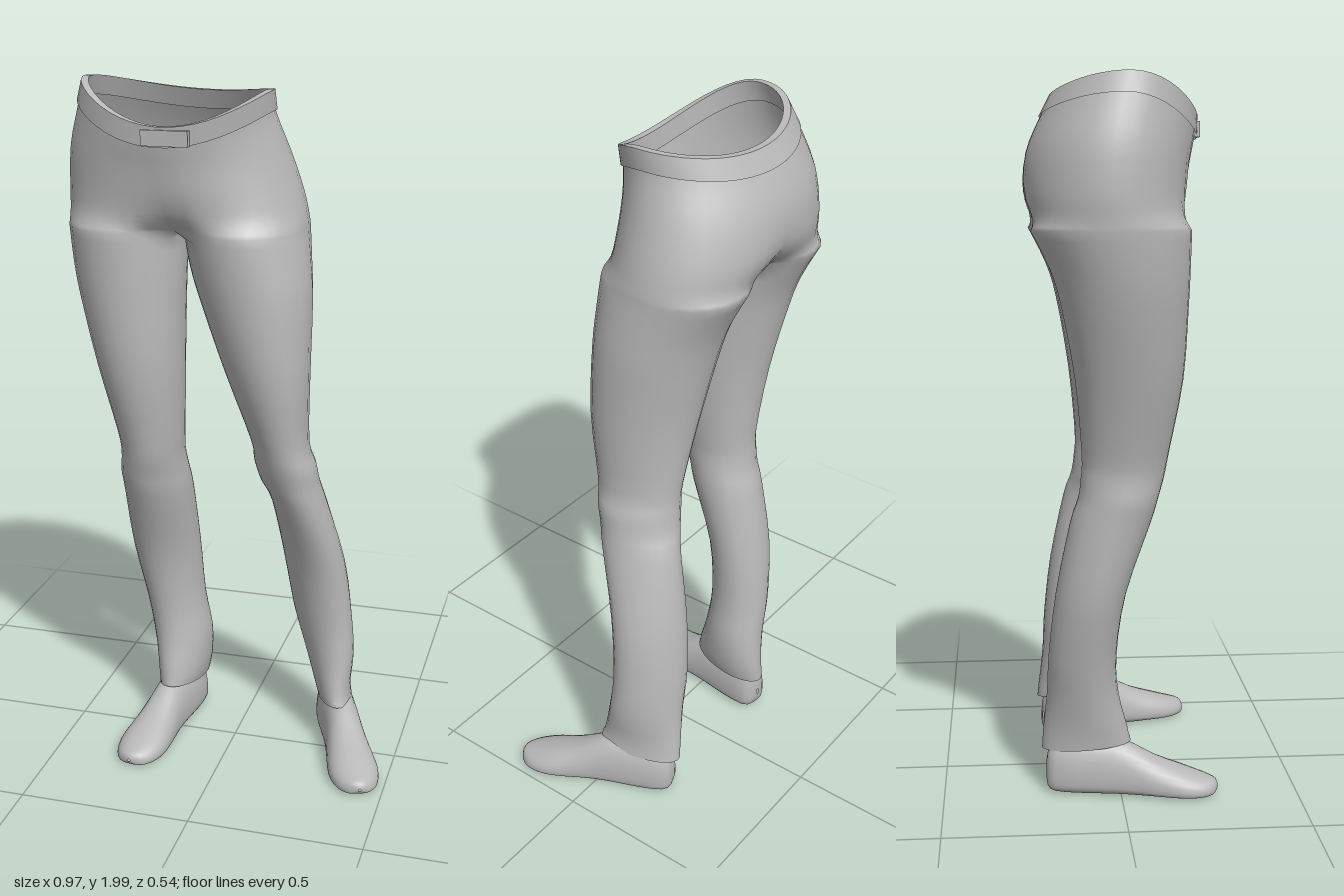
import * as THREE from 'three';
import { toCreasedNormals } from 'three/addons/utils/BufferGeometryUtils.js';

const H = 20;            // segments over the outer half of each leg
const B = 8;             // segments across the crotch bridge
const SPREAD = 2.53;     // half angle of a leg section that continues the hips
const CX = -0.15;        // x of the crotch
const lerp = THREE.MathUtils.lerp;

// rows: y, xMin, xMax, zMin, zMax, blend towards two legs, waist tilt
const HIPS = [
  [1.945, -0.425, 0.105, -0.185, 0.205, 0, 1],
  [1.89, -0.445, 0.107, -0.215, 0.2, 0, 0.9],
  [1.8, -0.48, 0.14, -0.257, 0.19, 0.04, 0.4],
  [1.7, -0.49, 0.175, -0.275, 0.185, 0.17, 0],
  [1.64, -0.488, 0.19, -0.265, 0.18, 0.45, 0],
  [1.6, -0.485, 0.2, -0.245, 0.18, 1, 0],
];
// rows: y, xMin, xMax, zMin, zMax, skew (turns the section outward)
const LEFT_LEG = [
  [1.6, -0.15, 0.2, -0.245, 0.18, 0],
  [1.5, -0.13, 0.215, -0.195, 0.178, 0.05],
  [1.4, -0.1, 0.225, -0.165, 0.175, 0.1],
  [1.2, -0.03, 0.226, -0.13, 0.165, 0.2],
  [1.0, 0.045, 0.225, -0.11, 0.13, 0.25],
  [0.93, 0.055, 0.245, -0.112, 0.117, 0.25],
  [0.87, 0.07, 0.255, -0.12, 0.1, 0.25],
  [0.8, 0.1, 0.272, -0.142, 0.08, 0.25],
  [0.6, 0.125, 0.32, -0.182, 0.012, 0.3],
  [0.42, 0.152, 0.342, -0.202, -0.012, 0.35],
  [0.3, 0.185, 0.352, -0.207, -0.008, 0.4],
  [0.2, 0.215, 0.346, -0.217, 0.01, 0.45],
  [0.145, 0.232, 0.352, -0.224, 0.022, 0.45],
];
const RIGHT_LEG = [
  [1.6, -0.485, -0.15, -0.245, 0.18, 0],
  [1.5, -0.47, -0.15, -0.195, 0.178, 0],
  [1.4, -0.45, -0.15, -0.165, 0.175, 0],
  [1.2, -0.4, -0.15, -0.128, 0.165, 0],
  [1.0, -0.35, -0.155, -0.11, 0.13, 0],
  [0.93, -0.342, -0.158, -0.112, 0.117, 0],
  [0.87, -0.348, -0.152, -0.12, 0.1, -0.05],
  [0.8, -0.346, -0.145, -0.142, 0.08, -0.05],
  [0.6, -0.34, -0.14, -0.182, 0.012, -0.1],
  [0.42, -0.305, -0.132, -0.202, -0.012, -0.1],
  [0.3, -0.28, -0.112, -0.207, -0.005, -0.15],
  [0.2, -0.262, -0.115, -0.217, 0.02, -0.2],
  [0.145, -0.255, -0.128, -0.222, 0.03, -0.2],
];
// rows: distance from heel, half width, bottom, top
const SHOE = [
  [0, 0.004, 0.06, 0.08],
  [0.006, 0.03, 0.025, 0.13],
  [0.03, 0.05, 0.012, 0.165],
  [0.1, 0.058, 0.01, 0.175],
  [0.19, 0.058, 0.01, 0.17],
  [0.25, 0.06, 0.01, 0.147],
  [0.31, 0.067, 0.01, 0.115],
  [0.38, 0.074, 0.01, 0.088],
  [0.43, 0.067, 0.01, 0.07],
  [0.465, 0.05, 0.012, 0.058],
  [0.483, 0.028, 0.017, 0.05],
  [0.49, 0.004, 0.03, 0.036],
];

// Smoothly interpolates rows of numbers
function refine(rows, n) {
  const out = [];
  for (let k = 0; k < rows.length - 1; k++) {
    const [p, q, r, s] = [-1, 0, 1, 2].map(
      (d) => rows[THREE.MathUtils.clamp(k + d, 0, rows.length - 1)]);
    for (let m = 0; m < n; m++) {
      const t = m / n;
      out.push(q.map((v, i) => v + 0.5 * t * (r[i] - p[i]
        + t * (2 * p[i] - 5 * v + 4 * r[i] - s[i] + t * (3 * (v - r[i]) + s[i] - p[i])))));
    }
  }
  out.push(rows[rows.length - 1]);
  return out;
}

// Point on the ellipse filling a row's bounds
function section([y, x0, x1, z0, z1], angle, skew = 0) {
  const c = Math.cos(angle), s = Math.sin(angle);
  return [(x0 + x1) / 2 + (x1 - x0) / 2 * (c * Math.sqrt(1 - skew * skew) + s * skew),
    y, (z0 + z1) / 2 + (z1 - z0) / 2 * s];
}

// Waistline: high at the sides, low at the front
function tilt(angle) {
  const c = Math.cos(angle), s = Math.sin(angle);
  return c * c * 0.04 + s * s * (s > 0 ? -0.055 : 0.005) - c * 0.0125;
}

// Collects vertices and joins equal-length closed rings of indices
class Skin {
  positions = [];
  index = [];
  add(p) {
    this.positions.push(...p);
    return this.positions.length / 3 - 1;
  }
  join(upper, lower) {
    upper.forEach((a, i) => {
      const j = (i + 1) % upper.length;
      this.index.push(a, upper[j], lower[i], upper[j], lower[j], lower[i]);
    });
  }
  loft(rings) {
    const ids = rings.map((ring) => ring.map((p) => this.add(p)));
    for (let k = 1; k < ids.length; k++) this.join(ids[k - 1], ids[k]);
    return ids;
  }
  geometry() {
    const g = new THREE.BufferGeometry();
    g.setAttribute('position', new THREE.Float32BufferAttribute(this.positions, 3));
    g.setIndex(this.index);
    g.computeVertexNormals();
    return g;
  }
}

function hipRing(row) {
  const ring = [];
  for (let j = 0; j < 2 * H; j++) {
    const right = j >= H, f = (j % H) / H, turn = right ? Math.PI : 0;
    const angle = turn + Math.PI * (f - 0.5);
    const hip = section(row, angle);
    const leg = section((right ? RIGHT_LEG : LEFT_LEG)[0], turn + SPREAD * (2 * f - 1));
    if (f === 0) leg[0] = CX;
    ring.push([lerp(hip[0], leg[0], row[5]), row[0] + row[6] * tilt(angle),
      lerp(hip[2], leg[2], row[5])]);
  }
  return ring;
}

function legRing(row, turn) {
  const ring = [];
  for (let j = 0; j < H + B; j++) {
    const a = j <= H ? SPREAD * (2 * j / H - 1)
      : SPREAD + (2 * Math.PI - 2 * SPREAD) * (j - H) / B;
    const p = section(row, a + turn, row[5]);
    if (row[0] < 0.16) p[1] += 0.012 * Math.sin(a + turn);   // hem lifts over the foot
    ring.push(p);
  }
  return ring;
}

// Hips, crotch bridge and both legs as one continuous cloth
function trousers() {
  const skin = new Skin();
  const crotch = skin.loft(refine(HIPS, 3).map(hipRing)).pop();
  const front = hipRing(HIPS[5])[H], back = hipRing(HIPS[5])[0];
  const bridge = [];
  for (let i = 1; i < B; i++) {
    const t = i / B;
    bridge.push(skin.add([CX, 1.6 - 0.025 * Math.sin(Math.PI * t), lerp(front[2], back[2], t)]));
  }
  const tops = [
    [...crotch.slice(0, H + 1), ...bridge],
    [...crotch.slice(H), crotch[0], ...bridge.slice().reverse()],
  ];
  [LEFT_LEG, RIGHT_LEG].forEach((rows, k) => {
    const ids = skin.loft(refine(rows, 3).slice(1).map((r) => legRing(r, k * Math.PI)));
    skin.join(tops[k], ids[0]);
  });
  return skin.geometry();
}

// Raised band with thickness around the waist
function waistband() {
  const rows = [
    [1.895, -0.42, 0.09, -0.19, 0.185],
    [1.95, -0.408, 0.089, -0.168, 0.19],
    [1.95, -0.428, 0.109, -0.188, 0.21],
    [1.895, -0.447, 0.111, -0.217, 0.207],
  ];
  const skin = new Skin();
  skin.loft(rows.map((row) => Array.from({ length: 48 }, (_, i) => {
    const a = i / 48 * Math.PI * 2, p = section(row, a);
    p[1] += tilt(a);
    return p;
  })));
  return toCreasedNormals(skin.geometry(), 0.8);
}

function shoe() {
  const soft = (v, e) => Math.sign(v) * Math.abs(v) ** e;
  const skin = new Skin();
  skin.loft(refine(SHOE, 2).map(([d, w, lo, hi]) => Array.from({ length: 28 }, (_, i) => {
    const a = i / 28 * Math.PI * 2, s = Math.sin(a);
    return [w * soft(Math.cos(a), s < 0 ? 0.6 : 0.9),
      s < 0 ? lerp(lo, hi, 0.3) + (hi - lo) * 0.3 * soft(s, 0.6) : lerp(lo, hi, 0.3 + 0.7 * s), d];
  })));
  return skin.geometry();
}

export function createModel() {
  const group = new THREE.Group();
  const grey = new THREE.MeshStandardMaterial({ color: 0xb8b8b8, side: THREE.DoubleSide });
  grey.name = 'grey';
  const add = (name, geometry) => {
    const mesh = new THREE.Mesh(geometry, grey);
    mesh.name = name;
    group.add(mesh);
    return mesh;
  };
  add('trousers', trousers());
  add('waistband', waistband());
  add('buckle', new THREE.BoxGeometry(0.13, 0.042, 0.02)).position.set(-0.135, 1.866, 0.205);

  // Shoes turned outward
  const foot = shoe();
  const left = add('leftShoe', foot);
  left.position.set(0.258, 0, -0.205);
  left.rotation.y = 0.385;
  const right = add('rightShoe', foot);
  right.position.set(-0.185, 0, -0.21);
  right.rotation.y = -0.14;
  return group;
}
